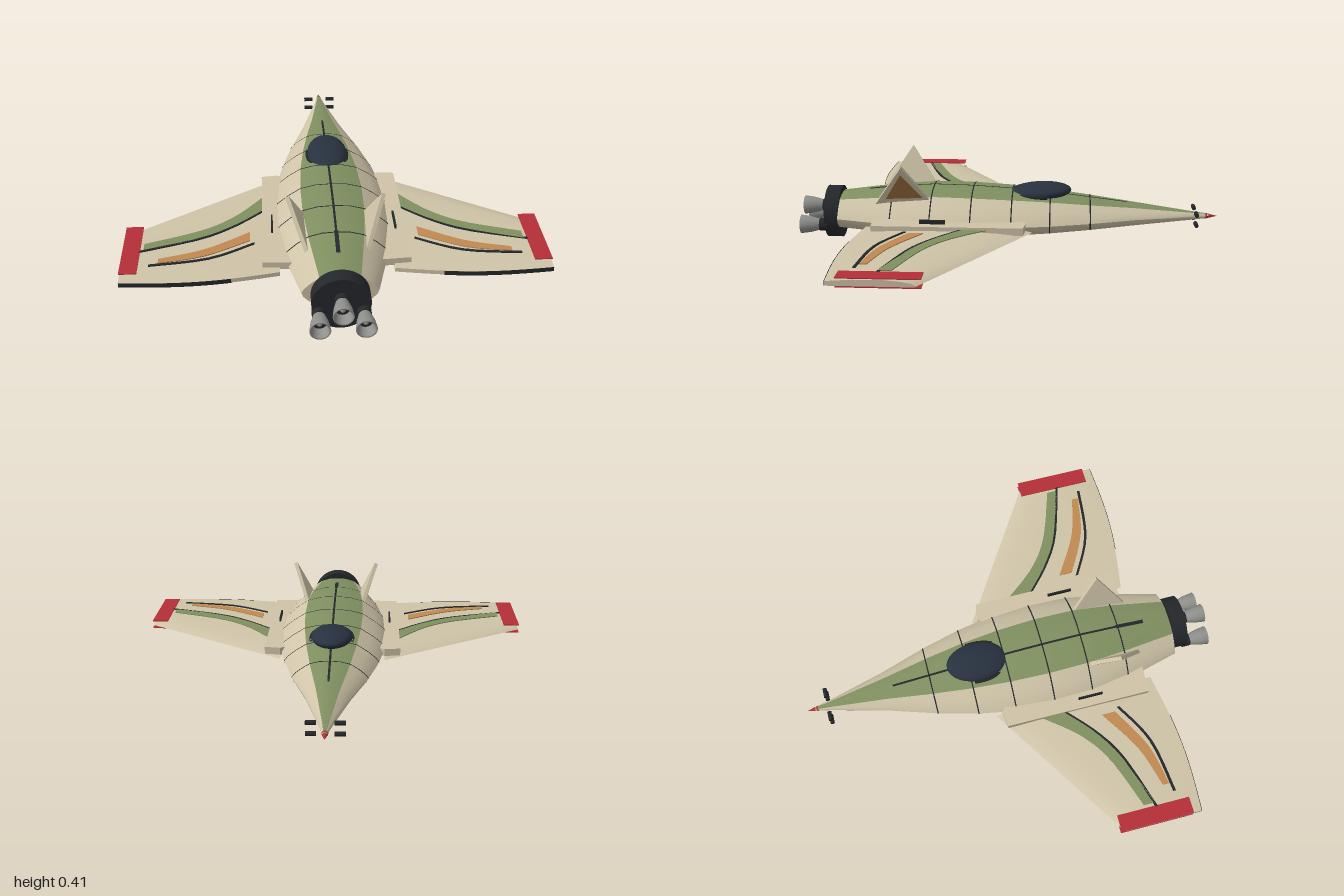
import * as THREE from 'three';
import { toCreasedNormals } from 'three/addons/utils/BufferGeometryUtils.js';

const mat = (color) => new THREE.MeshStandardMaterial({ color, side: THREE.DoubleSide });
const BEIGE = mat(0xcfc4a8), GREEN = mat(0x7f9060), DARK = mat(0x24272b), RED = mat(0xb52f38);
const ORANGE = mat(0xc08a52), GLASS = mat(0x28313f), GREY = mat(0x8f8f8c), TAN = mat(0xa0703f);

function add(parent, name, geo, material, x = 0, y = 0, z = 0) {
  const mesh = new THREE.Mesh(geo, material);
  mesh.name = name;
  mesh.position.set(x, y, z);
  parent.add(mesh);
  return mesh;
}

// Skin over rows of points
function skin(rows, crease = 0.6) {
  const n = rows[0].length, index = [];
  for (let i = 0; i < rows.length - 1; i++)
    for (let j = 0; j < n - 1; j++) {
      const a = i * n + j, b = a + n;
      index.push(a, b, a + 1, b, b + 1, a + 1);
    }
  const geo = new THREE.BufferGeometry();
  geo.setAttribute('position', new THREE.Float32BufferAttribute(rows.flat(2), 3));
  geo.setIndex(index);
  geo.computeVertexNormals();
  return toCreasedNormals(geo, crease);
}

// Hull stations: z, half width, top, bottom
const STATIONS = [
  [-0.96, 0.01, 0.142, 0.12], [-0.89, 0.024, 0.15, 0.112], [-0.61, 0.1, 0.188, 0.088],
  [-0.39, 0.172, 0.215, 0.07], [-0.2, 0.222, 0.238, 0.058], [-0.02, 0.255, 0.253, 0.049],
  [0.17, 0.27, 0.264, 0.041], [0.36, 0.264, 0.268, 0.037], [0.55, 0.232, 0.256, 0.045], [0.81, 0.165, 0.225, 0.06],
];
const AXIS = 0.135;
const TOP = [[-0.53, 0.83], [-0.27, 0.97], [0, 1], [0.27, 0.97], [0.53, 0.83]];
const SIDE = [[0.53, 0.83], [0.75, 0.53], [0.92, 0.23], [1, 0], [0.95, -0.28], [0.8, -0.62], [0.55, -0.85], [0.28, -0.96], [0, -1]];
const BODY = [...SIDE, ...SIDE.slice(0, -1).reverse().map(([x, y]) => [-x, y])];

function station(z) {
  let i = 0;
  while (i < STATIONS.length - 2 && z > STATIONS[i + 1][0]) i++;
  const a = STATIONS[i], b = STATIONS[i + 1], t = (z - a[0]) / (b[0] - a[0]);
  return a.map((v, k) => v + (b[k] - v) * t);
}
function section(z, profile, grow = 1) {
  const [, w, top, bottom] = station(z);
  return profile.map(([x, y]) => [x * w * grow, AXIS + y * grow * (y > 0 ? top - AXIS : AXIS - bottom), z]);
}

// Horizontal plate outlined in x, z; its upper face lies at y = 0
function plate(shape, depth) {
  return new THREE.ExtrudeGeometry(shape, { depth, bevelEnabled: false, curveSegments: 10 }).rotateX(Math.PI / 2);
}
const polygon = (pts) => new THREE.Shape(pts.map((p) => new THREE.Vector2(...p)));
// Curved band between a front and a rear edge
function band(front, rear) {
  const curve = (pts) => new THREE.SplineCurve(pts.map((p) => new THREE.Vector2(...p))).getPoints(10);
  return new THREE.Shape([...curve(front), ...curve(rear).reverse()]);
}
const stripe = (pts, w) => band(pts, pts.map(([x, z]) => [x, z + w]));

function buildWing() {
  const wing = new THREE.Group();
  const leading = (x) => -0.12 + (x - 0.25) * 0.638;
  const trailing = (x) => 0.655 + 0.036 * (x - 0.25) / 0.69 + 0.028 * Math.sin(Math.PI * (x - 0.25) / 0.69);
  const foil = [[1, 0.13], [0.7, 0.138], [0.35, 0.139], [0.15, 0.132], [0.05, 0.124], [0, 0.114], [0.03, 0.11], [1, 0.11], [1, 0.13]];
  const rows = [];
  for (let i = 0; i <= 14; i++) {
    const x = 0.25 + 0.69 * i / 14, a = leading(x), b = trailing(x);
    rows.push(foil.map(([u, y]) => [x, y, a + (b - a) * u]));
  }
  rows.push(foil.map(() => [0.94, 0.122, 0.5])); // tip cap
  add(wing, 'wingPanel', skin(rows), BEIGE);

  // Dark outer trailing edge
  const edge = [];
  for (let i = 0; i <= 8; i++) {
    const x = 0.46 + 0.06 * i, z = trailing(x) + 0.002;
    edge.push([[x, 0.109, z], [x, 0.131, z]]);
  }
  add(wing, 'wingTrailingEdge', skin(edge), DARK);

  // Painted panels above and below
  const panels = [
    ['wingGreenBand', GREEN, band([[0.325, 0.09], [0.45, 0.24], [0.6, 0.345], [0.85, 0.435]], [[0.325, 0.2], [0.45, 0.31], [0.6, 0.4], [0.85, 0.49]])],
    ['wingDarkStripe', DARK, stripe([[0.325, 0.2], [0.45, 0.31], [0.6, 0.4], [0.87, 0.485]], 0.012)],
    ['wingOrangeBand', ORANGE, band([[0.38, 0.37], [0.58, 0.49], [0.78, 0.55]], [[0.38, 0.435], [0.58, 0.54], [0.78, 0.58]])],
    ['wingLowerStripe', DARK, stripe([[0.36, 0.45], [0.56, 0.552], [0.82, 0.588]], 0.013)],
    ['wingTipPanel', RED, polygon([[0.865, 0.3], [0.943, 0.3], [0.943, 0.65], [0.865, 0.65]])],
  ];
  for (const [name, material, shape] of panels)
    for (const y of [0.147, 0.109]) add(wing, name, plate(shape, 0.004), material, 0, y);

  // Root strake with a small vane
  add(wing, 'strake', plate(polygon([[0.15, -0.02], [0.25, -0.09], [0.325, -0.08], [0.325, 0.62], [0.15, 0.63]]), 0.035), BEIGE, 0, 0.158);
  add(wing, 'strakeVane', new THREE.BoxGeometry(0.008, 0.03, 0.12), DARK, 0.28, 0.162, 0.34);
  return wing;
}

function buildFin() {
  const fin = new THREE.Group();
  const slab = (pts, depth) => new THREE.ExtrudeGeometry(polygon(pts), { depth, bevelEnabled: false }).rotateY(-Math.PI / 2);
  add(fin, 'finPanel', slab([[0.63, -0.015], [0.49, 0.205], [0.355, -0.005]], 0.018), BEIGE);
  add(fin, 'finInset', slab([[0.575, 0.025], [0.495, 0.165], [0.4, 0.035]], 0.004), TAN, 0.003);
  fin.position.set(0.145, 0.215, 0);
  fin.rotation.z = -0.37;
  return fin;
}

function buildNozzle() {
  const nozzle = new THREE.Group();
  const lathe = (pts) => new THREE.LatheGeometry(pts.map((p) => new THREE.Vector2(...p)), 24).rotateX(Math.PI / 2);
  add(nozzle, 'nozzleCollar', new THREE.CylinderGeometry(0.03, 0.03, 0.04, 24).rotateX(Math.PI / 2), DARK, 0, 0, 0.89);
  add(nozzle, 'nozzleBell', lathe([[0.024, 0.9], [0.031, 0.925], [0.039, 0.955], [0.045, 1], [0.038, 1], [0.028, 0.94]]), GREY);
  add(nozzle, 'nozzleThroat', new THREE.CircleGeometry(0.032, 24), DARK, 0, 0, 0.95);
  add(nozzle, 'nozzleCore', new THREE.SphereGeometry(0.012, 12, 8), GREY, 0, 0, 0.955);
  return nozzle;
}

export function createModel() {
  const model = new THREE.Group();
  model.name = 'spaceFighter';

  // Hull
  const rowsOf = (profile) => STATIONS.map((s) => section(s[0], profile));
  add(model, 'hullSides', skin(rowsOf(BODY), 0.9), BEIGE);
  add(model, 'hullTop', skin(rowsOf(TOP), 0.9), GREEN);
  const loop = [...TOP, ...BODY.slice(1)];
  add(model, 'hullRear', new THREE.ShapeGeometry(polygon(section(0.81, loop.slice(0, -1)).map(([x, y]) => [x, y]))), BEIGE, 0, 0, 0.81);
  for (const z of [-0.39, -0.2, -0.02, 0.17, 0.36, 0.55])
    add(model, 'panelLine', skin([section(z - 0.003, loop, 1.008), section(z + 0.003, loop, 1.008)], 0.9), DARK);

  // Spine stripe, wider at the rear
  const spine = [-0.57, -0.39, -0.2, -0.02, 0.17, 0.36, 0.54, 0.541, 0.68].map((z) => {
    const w = z > 0.54 ? 0.009 : 0.005, y = station(z)[2] + 0.002;
    return [[-w, y, z], [w, y, z]];
  });
  add(model, 'spineStripe', skin(spine), DARK);

  // Canopy and rear frame
  add(model, 'canopy', new THREE.SphereGeometry(1, 32, 20).scale(0.097, 0.04, 0.15), GLASS, 0, 0.244, -0.15).rotation.x = 0.06;
  const frame = new THREE.TorusGeometry(1, 0.06, 8, 32, Math.PI * 1.15).rotateZ(-Math.PI * 0.075).rotateX(Math.PI / 2);
  add(model, 'canopyFrame', frame.scale(0.1, 0.14, 0.15), DARK, 0, 0.236, -0.15);

  // Nose tip and thrusters
  add(model, 'noseTip', new THREE.ConeGeometry(0.014, 0.055, 16).rotateX(-Math.PI / 2), RED, 0, 0.131, -0.9725);
  for (const x of [-0.06, 0.06])
    for (const y of [0.105, 0.155])
      add(model, 'noseThruster', new THREE.CylinderGeometry(0.01, 0.01, 0.045, 12).rotateZ(Math.PI / 2), DARK, x, y, -0.895);

  // Engine ring and nozzles
  add(model, 'engineRing', new THREE.CylinderGeometry(0.126, 0.126, 0.07, 40).rotateX(Math.PI / 2), DARK, 0, 0.126, 0.848);
  for (const [x, y] of [[0, 0.155], [-0.095, 0.086], [0.095, 0.086]]) {
    const nozzle = buildNozzle();
    nozzle.name = 'nozzle';
    nozzle.position.set(x, y, 0);
    model.add(nozzle);
  }

  // Belly vents
  for (const x of [-0.035, 0, 0.035])
    add(model, 'bellyVent', new THREE.CylinderGeometry(0.01, 0.01, 0.012, 12), DARK, x, 0.054, 0.69);

  // Wings and fins, mirrored
  for (const side of [1, -1]) {
    const half = new THREE.Group();
    half.name = side > 0 ? 'leftWingAndFin' : 'rightWingAndFin';
    half.add(buildWing(), buildFin());
    half.children[0].name = 'wing';
    half.children[1].name = 'tailFin';
    half.scale.x = side;
    model.add(half);
  }
  return model;
}
